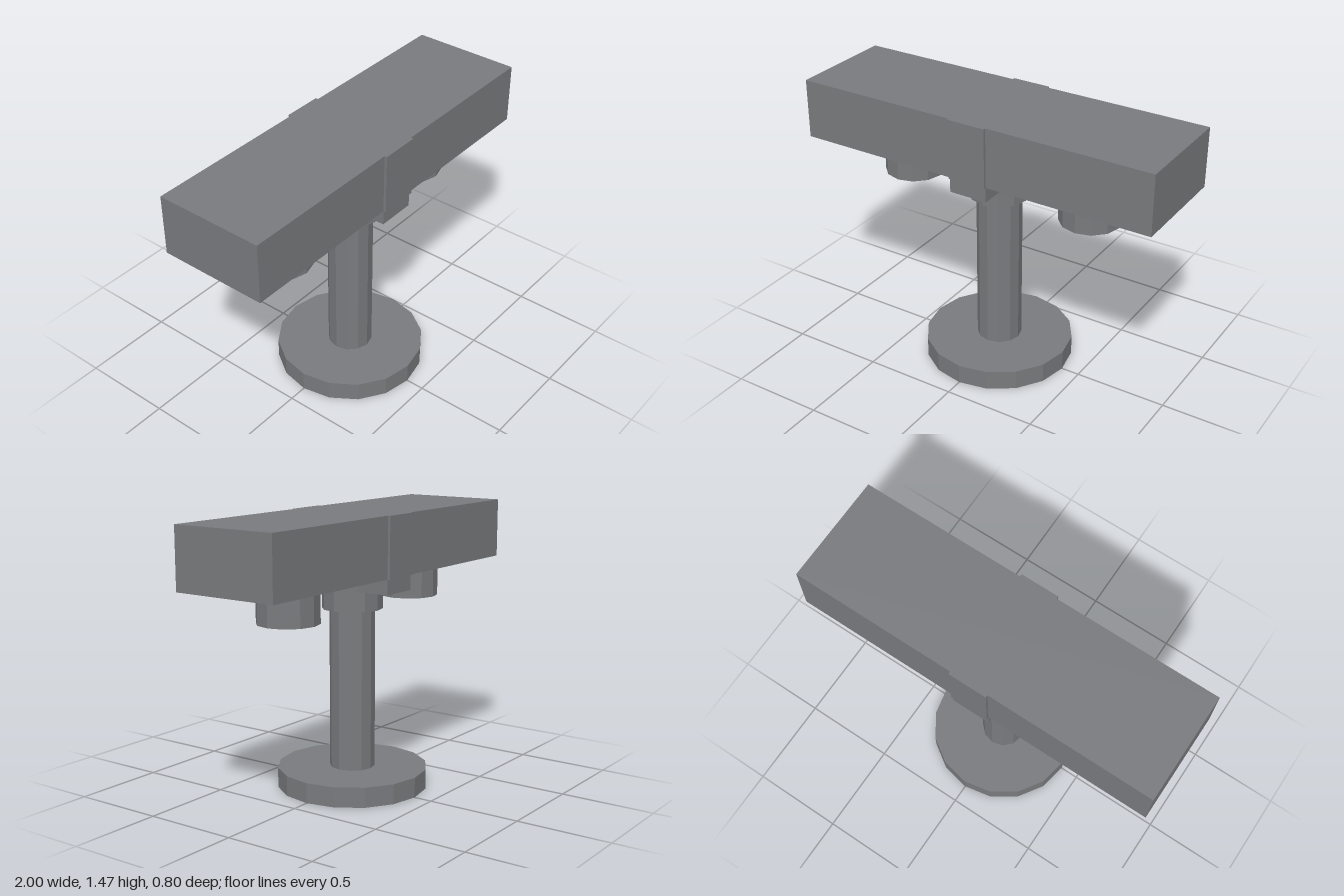
import * as THREE from 'three';

export function createModel() {
  const group = new THREE.Group();
  const material = new THREE.MeshStandardMaterial({ color: 0x787a7d, flatShading: true });

  const add = (name, geometry, x, y, z) => {
    const mesh = new THREE.Mesh(geometry, material);
    mesh.name = name;
    mesh.position.set(x, y, z);
    group.add(mesh);
  };
  // Upright faceted cylinder between two heights
  const post = (name, radius, y0, y1, sides, x = 0) =>
    add(name, new THREE.CylinderGeometry(radius, radius, y1 - y0, sides), x, (y0 + y1) / 2, 0);
  // Box between two heights, centred on x = 0
  const block = (name, width, y0, y1, depth, z = 0) =>
    add(name, new THREE.BoxGeometry(width, y1 - y0, depth), 0, (y0 + y1) / 2, z);

  // Stand
  post('base', 0.4, 0, 0.107, 16);
  post('stem', 0.12, 0.107, 0.965, 12);
  post('collar', 0.16, 0.961, 1.148, 12);

  // Crossbar with the mounting block beneath it
  block('crossbar', 2, 1.148, 1.467, 0.586);
  block('mountingBlock', 0.21, 1.068, 1.148, 0.586);

  for (const side of [1, -1]) {
    // Thin plates on the front and back of the bar
    block(side > 0 ? 'frontPlate' : 'backPlate', 0.21, 1.148, 1.467, 0.014, side * 0.3);
    // Round knobs hanging under each arm
    post(side > 0 ? 'leftKnob' : 'rightKnob', 0.16, 0.961, 1.148, 12, side * 0.533);
  }
  return group;
}
